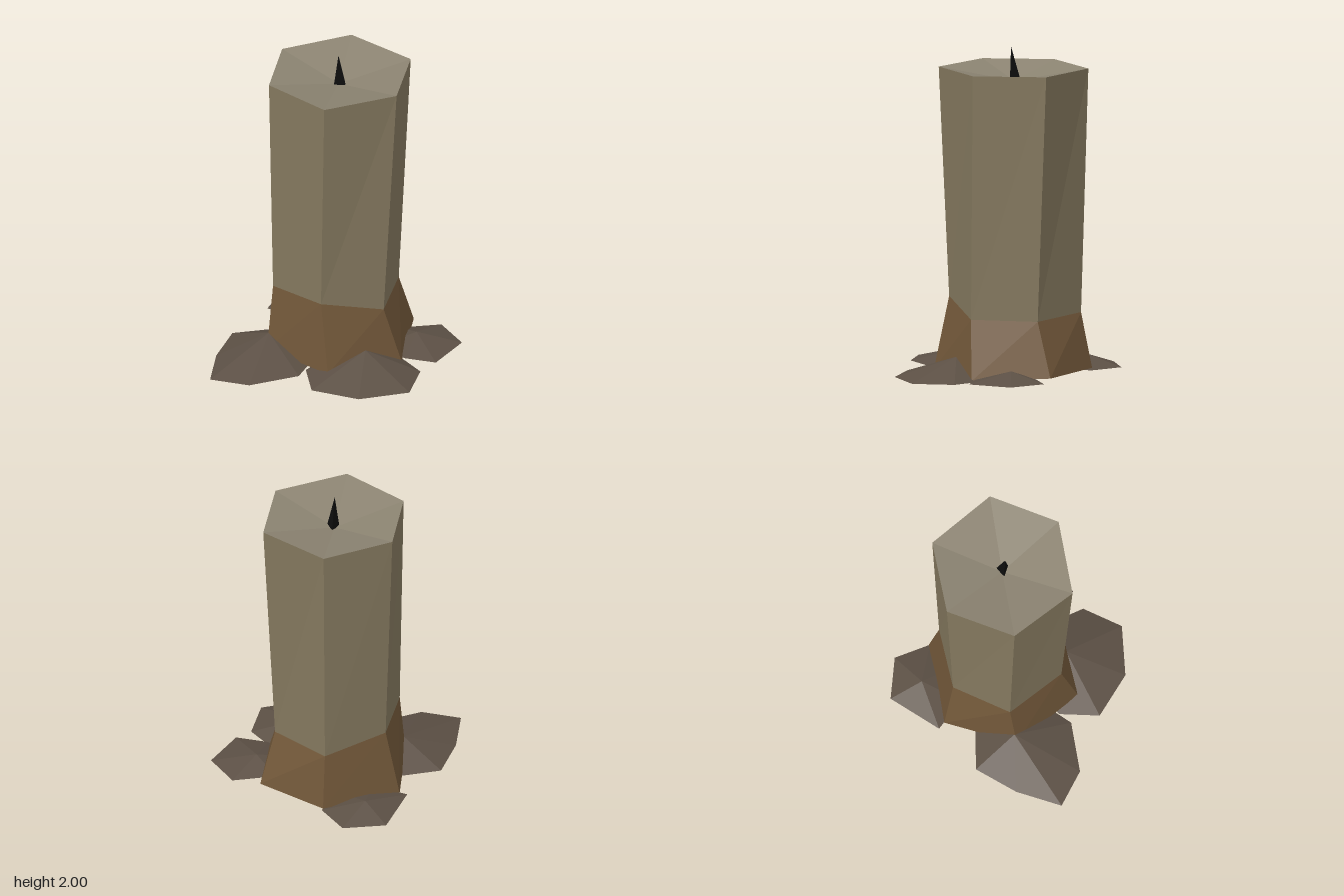
import * as THREE from 'three';

// Rings of the hexagonal candle, from the left-hand corner round the front
const TOP = [[-0.5, 1.87, -0.2], [-0.3, 1.87, 0.19], [0.145, 1.87, 0.22], [0.39, 1.87, -0.18], [0.19, 1.87, -0.58], [-0.27, 1.87, -0.59]];
const WAIST = [[-0.45, 0.44, -0.2], [-0.3, 0.44, 0.15], [0.09, 0.465, 0.18], [0.33, 0.37, -0.13], [0.16, 0.365, -0.5], [-0.25, 0.38, -0.55]];
const FOOT = [[-0.54, 0.02, -0.18], [-0.3, 0.02, 0.21], [0.18, 0.03, 0.23], [0.42, 0.01, -0.19], [0.19, 0.03, -0.61], [-0.28, 0.04, -0.61]];

// Wax puddles: peak and outline [x, z], lying at height y
const PUDDLES = [
  { name: 'frontRightPuddle', y: 0.01, peak: [-0.3, 0.13, 0.19],
    rim: [[-0.43, -0.02], [-0.595, 0.17], [-0.51, 0.44], [-0.365, 0.69], [-0.135, 0.6], [0.035, 0.33], [-0.02, 0.1], [-0.2, -0.04]] },
  { name: 'frontLeftPuddle', y: 0.005, peak: [0.29, 0.13, 0],
    rim: [[0.02, 0.03], [0.02, 0.24], [0.195, 0.41], [0.485, 0.32], [0.68, 0.07], [0.58, -0.17], [0.38, -0.23], [0.15, -0.15]] },
  { name: 'backLeftPuddle', y: 0.02, peak: [0.35, 0.08, -0.43],
    rim: [[0.17, -0.48], [0.22, -0.26], [0.42, -0.215], [0.605, -0.29], [0.585, -0.575], [0.355, -0.67]] },
  { name: 'backRightPuddle', y: 0.025, peak: [-0.48, 0.09, -0.45],
    rim: [[-0.68, -0.51], [-0.59, -0.17], [-0.37, -0.22], [-0.25, -0.4], [-0.27, -0.61], [-0.485, -0.69]] },
];

function facetMesh(name, triangles, color) {
  const geometry = new THREE.BufferGeometry();
  geometry.setAttribute('position', new THREE.Float32BufferAttribute(triangles.flat(2), 3));
  geometry.computeVertexNormals();
  const mesh = new THREE.Mesh(geometry, new THREE.MeshStandardMaterial({ color, flatShading: true }));
  mesh.name = name;
  return mesh;
}

// Wall between two rings
function wall(lower, upper) {
  return lower.flatMap((a, i) => {
    const j = (i + 1) % lower.length;
    return [[a, lower[j], upper[j]], [a, upper[j], upper[i]]];
  });
}

// Fan from a centre point to a ring, facing up or down
function fan(center, ring, up = true) {
  return ring.map((a, i) => {
    const b = ring[(i + 1) % ring.length];
    return up ? [center, a, b] : [center, b, a];
  });
}

export function createModel() {
  const model = new THREE.Group();
  model.name = 'candle';

  // Candle body with flared foot and dished top
  model.add(
    facetMesh('candleShaft', wall(WAIST, TOP), 0x85795f),
    facetMesh('candleTop', fan([-0.06, 1.79, -0.19], TOP), 0x8c8472),
    facetMesh('candleFoot', [...wall(FOOT, WAIST), ...fan([-0.06, 0.03, -0.19], FOOT, false)], 0x715739),
  );

  // Puddles of melted wax round the foot
  for (const { name, y, peak, rim } of PUDDLES) {
    const ring = rim.map(([x, z]) => [x, y, z]);
    const under = [peak[0], y, peak[2]];
    model.add(facetMesh(name, [...fan(peak, ring), ...fan(under, ring, false)], 0x5c5045));
  }

  // Three-sided wick, its tip leaning slightly forward
  const wickGeometry = new THREE.ConeGeometry(0.045, 0.22, 3);
  wickGeometry.rotateY(Math.PI / 2);
  const p = wickGeometry.attributes.position;
  for (let i = 0; i < p.count; i++) {
    if (p.getY(i) > 0) p.setZ(i, p.getZ(i) + 0.02);
  }
  wickGeometry.computeVertexNormals();
  const wick = new THREE.Mesh(wickGeometry, new THREE.MeshStandardMaterial({ color: 0x0c0c0c, flatShading: true }));
  wick.name = 'wick';
  wick.position.set(-0.05, 1.89, -0.195);
  model.add(wick);

  return model;
}
